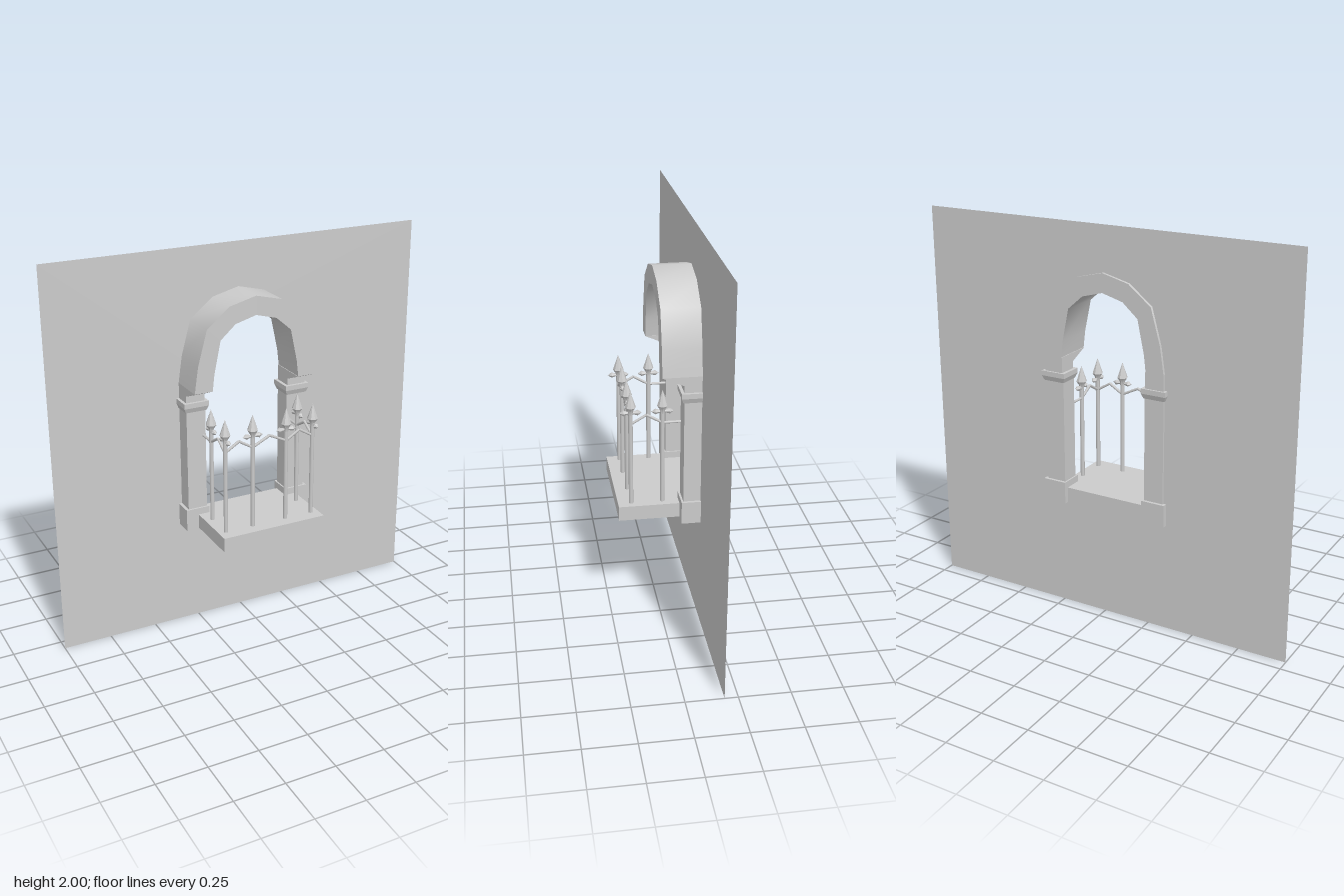
import * as THREE from 'three';
import { toCreasedNormals } from 'three/addons/utils/BufferGeometryUtils.js';

const grey = new THREE.MeshStandardMaterial({ color: 0xcccccc });
const thin = new THREE.MeshStandardMaterial({ color: 0xcccccc, side: THREE.DoubleSide });
const WALL_Z = -0.185;

function add(parent, name, geometry, x = 0, y = 0, z = 0, material = grey) {
  const mesh = new THREE.Mesh(geometry, material);
  mesh.name = name;
  mesh.position.set(x, y, z);
  parent.add(mesh);
  return mesh;
}

// Box given by its limits on each axis
function box(parent, name, [x0, x1], [y0, y1], [z0, z1]) {
  return add(parent, name, new THREE.BoxGeometry(x1 - x0, y1 - y0, z1 - z0),
    (x0 + x1) / 2, (y0 + y1) / 2, (z0 + z1) / 2);
}

// Full symmetric curve from its +x half (springing point first, crown last)
function mirrored(half) {
  return [...half, ...half.slice(0, -1).reverse().map(([x, y]) => [-x, y])];
}
const vectors = (points) => points.map(([x, y]) => new THREE.Vector2(x, y));

const outer = mirrored([[0.33, 1.33], [0.31, 1.465], [0.26, 1.645], [0.14, 1.74], [0, 1.775]]);
const inner = mirrored([[0.235, 1.33], [0.225, 1.415], [0.19, 1.58], [0.11, 1.65], [0, 1.68]]);

// Straight rod between two points
function rod(parent, name, a, b, radius) {
  const dir = b.clone().sub(a);
  const mesh = add(parent, name, new THREE.CylinderGeometry(radius, radius, dir.length(), 6));
  mesh.position.copy(a).add(b).multiplyScalar(0.5);
  mesh.quaternion.setFromUnitVectors(new THREE.Vector3(0, 1, 0), dir.normalize());
}

// Fence post with a spear head and two leaf arms; turn points the arms along z
function fencePost(parent, x, z, turn) {
  const post = new THREE.Group();
  post.name = 'fencePost';
  post.position.set(x, 0, z);
  post.rotation.y = turn ? Math.PI / 2 : 0;
  add(post, 'postShaft', new THREE.CylinderGeometry(0.011, 0.011, 0.5, 8), 0, 0.88, 0);
  const head = vectors([[0, 1.11], [0.012, 1.115], [0.014, 1.135], [0.027, 1.155], [0.012, 1.2], [0, 1.235]]);
  add(post, 'spearHead', toCreasedNormals(new THREE.LatheGeometry(head, 8), 0.6));
  const leaf = vectors([[0, -0.055], [0.014, -0.035], [0.006, -0.01], [0.006, 0.01], [0.014, 0.035], [0, 0.055]]);
  const arms = add(post, 'leafArms', toCreasedNormals(new THREE.LatheGeometry(leaf, 6), 0.4), 0, 1.125, 0);
  arms.rotation.z = Math.PI / 2;
  parent.add(post);
}

export function createModel() {
  const model = new THREE.Group();
  model.name = 'archedBalcony';

  // Wall sheet with an arched opening
  const wall = new THREE.Shape(vectors([[-1, 0], [1, 0], [1, 2], [-1, 2]]));
  const opening = outer.map(([x, y]) => [x * 0.9, y - 0.04]);
  wall.holes.push(new THREE.Path(vectors([[-0.28, 0.6], [0.28, 0.6], ...opening])));
  add(model, 'wall', new THREE.ShapeGeometry(wall), 0, 0, WALL_Z, thin);

  // Deep arch ring
  const ring = new THREE.Shape(vectors([...outer, ...inner.slice().reverse()]));
  const ringGeometry = new THREE.ExtrudeGeometry(ring, { depth: 0.205, bevelEnabled: false });
  add(model, 'arch', toCreasedNormals(ringGeometry, 0.75), 0, 0, -0.2);

  for (const side of [-1, 1]) {
    const column = new THREE.Group();
    column.name = side > 0 ? 'leftColumn' : 'rightColumn';
    const span = (a, b) => (side > 0 ? [a, b] : [-b, -a]);
    box(column, 'columnBase', span(0.22, 0.345), [0.56, 0.675], [-0.21, -0.09]);
    box(column, 'columnShaft', span(0.228, 0.33), [0.67, 1.21], [-0.195, -0.1]);

    // Capital: a flat band over a tapered block
    box(column, 'capitalBand', span(0.215, 0.345), [1.225, 1.25], [-0.21, -0.085]);
    const taper = new THREE.CylinderGeometry(Math.SQRT1_2, 0.6, 0.025, 4, 1);
    taper.rotateY(Math.PI / 4).scale(0.13, 1, 0.125);
    add(column, 'capitalTaper', taper.toNonIndexed(), side * 0.28, 1.2125, -0.1475).geometry.computeVertexNormals();

    // Corbel stepping forward under the arch, profile drawn in (z, y)
    const profile = new THREE.Shape(vectors([[0.2, 1.25], [0.2, 1.33], [-0.005, 1.33], [0.1, 1.285], [0.1, 1.25]]));
    const corbel = new THREE.ExtrudeGeometry(profile, { depth: 0.098, bevelEnabled: false });
    corbel.rotateY(Math.PI / 2);
    add(column, 'corbel', corbel, side > 0 ? 0.232 : -0.33, 0, 0);
    model.add(column);
  }

  // Balcony floor
  box(model, 'balconyFloor', [-0.28, 0.28], [0.565, 0.64], [WALL_Z, 0.21]);

  // Railing: posts, then zigzag rails rising between each pair
  const railing = new THREE.Group();
  railing.name = 'railing';
  const front = 0.145, edge = 0.24, sideZ = -0.01, low = 1.065, high = 1.11;
  const xs = [-edge, -0.092, 0.092, edge];
  xs.forEach((x) => fencePost(railing, x, front, Math.abs(x) === edge));
  const peaked = (a, b) => {
    const peak = a.clone().add(b).multiplyScalar(0.5).setY(high);
    rod(railing, 'rail', a, peak, 0.007);
    rod(railing, 'rail', peak, b, 0.007);
  };
  const at = (x, z) => new THREE.Vector3(x, low, z);
  for (let i = 0; i < 3; i++) peaked(at(xs[i], front), at(xs[i + 1], front));
  for (const x of [-edge, edge]) {
    fencePost(railing, x, sideZ, true);
    peaked(at(x, front), at(x, sideZ));
    rod(railing, 'wallRail', at(x, sideZ), at(x, -0.105), 0.007);
  }
  model.add(railing);
  return model;
}
